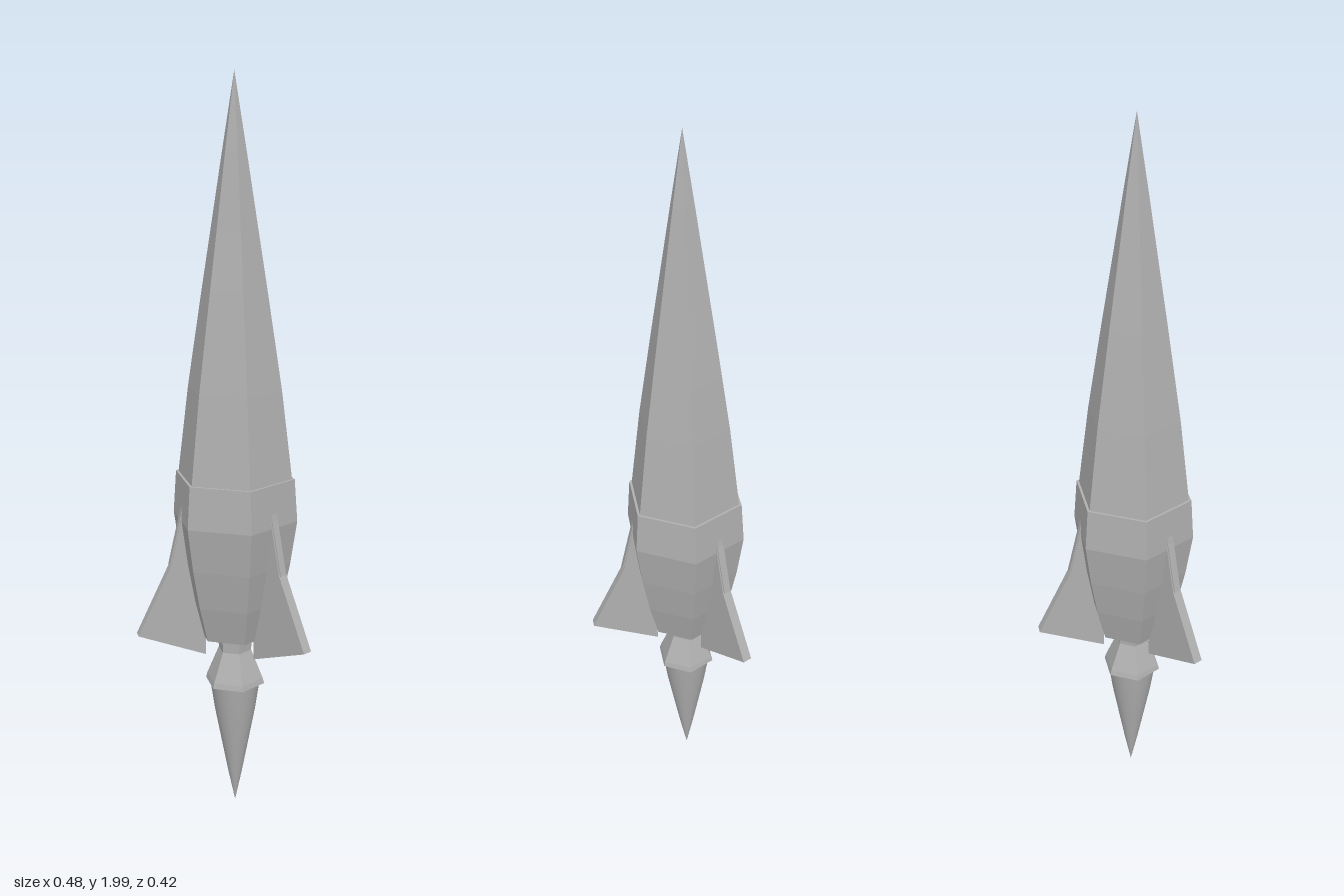
import * as THREE from 'three';

export function createModel() {
  const model = new THREE.Group();
  const rocket = new THREE.Group();
  rocket.name = 'rocket';
  rocket.position.z = 0.06; // the rear fin shifts the body axis forward
  model.add(rocket);

  const faceted = new THREE.MeshStandardMaterial({ color: 0xb0b0b0, flatShading: true });
  faceted.name = 'grey';
  const smooth = new THREE.MeshStandardMaterial({ color: 0xb0b0b0 });
  smooth.name = 'smooth grey';

  // Turned part from [radius, height] points, listed from bottom to top
  function turned(name, points, sides, material, parent = rocket) {
    const profile = points.map(([r, y]) => new THREE.Vector2(r, y));
    const mesh = new THREE.Mesh(new THREE.LatheGeometry(profile, sides, Math.PI / 6), material);
    mesh.name = name;
    parent.add(mesh);
  }

  // Six-sided body
  turned('noseCone', [
    [0.156, 0.963], [0.127, 1.2], [0.104, 1.35], [0.087, 1.46],
    [0.063, 1.61], [0.032, 1.805], [0, 2],
  ], 6, faceted);
  turned('hull', [
    [0, 0.52], [0.102, 0.52], [0.13, 0.62], [0.153, 0.73],
    [0.171, 0.85], [0.163, 0.965], [0, 0.965],
  ], 6, faceted);
  turned('engineNozzle', [
    [0, 0.375], [0.083, 0.375], [0.079, 0.39], [0.046, 0.47], [0.047, 0.52],
  ], 6, faceted);

  // Round exhaust flame
  turned('flame', [
    [0, 0.01], [0.019, 0.1], [0.038, 0.2], [0.055, 0.29], [0.068, 0.376],
  ], 40, smooth);

  // Plate cut from a [distance from axis, height] outline, centred on its thickness
  function plate(name, outline, thickness, parent) {
    const shape = new THREE.Shape(outline.map(([d, y]) => new THREE.Vector2(d, y)));
    const geometry = new THREE.ExtrudeGeometry(shape, { depth: thickness, bevelEnabled: false });
    geometry.translate(0, 0, -thickness / 2);
    const mesh = new THREE.Mesh(geometry, faceted);
    mesh.name = name;
    parent.add(mesh);
  }

  // Three fins: rear, front left and front right
  [['rearFin', 90], ['leftFin', -30], ['rightFin', 210]].forEach(([name, degrees]) => {
    const fin = new THREE.Group();
    fin.name = name;
    plate('finBlade', [
      [0.085, 0.467], [0.269, 0.538], [0.177, 0.73], [0.146, 0.87], [0.085, 0.87],
    ], 0.027, fin);
    plate('finRib', [
      [0.11, 0.7], [0.181, 0.728], [0.149, 0.87], [0.141, 0.915], [0.11, 0.915],
    ], 0.02, fin);
    fin.rotation.y = THREE.MathUtils.degToRad(degrees);
    rocket.add(fin);
  });

  return model;
}
